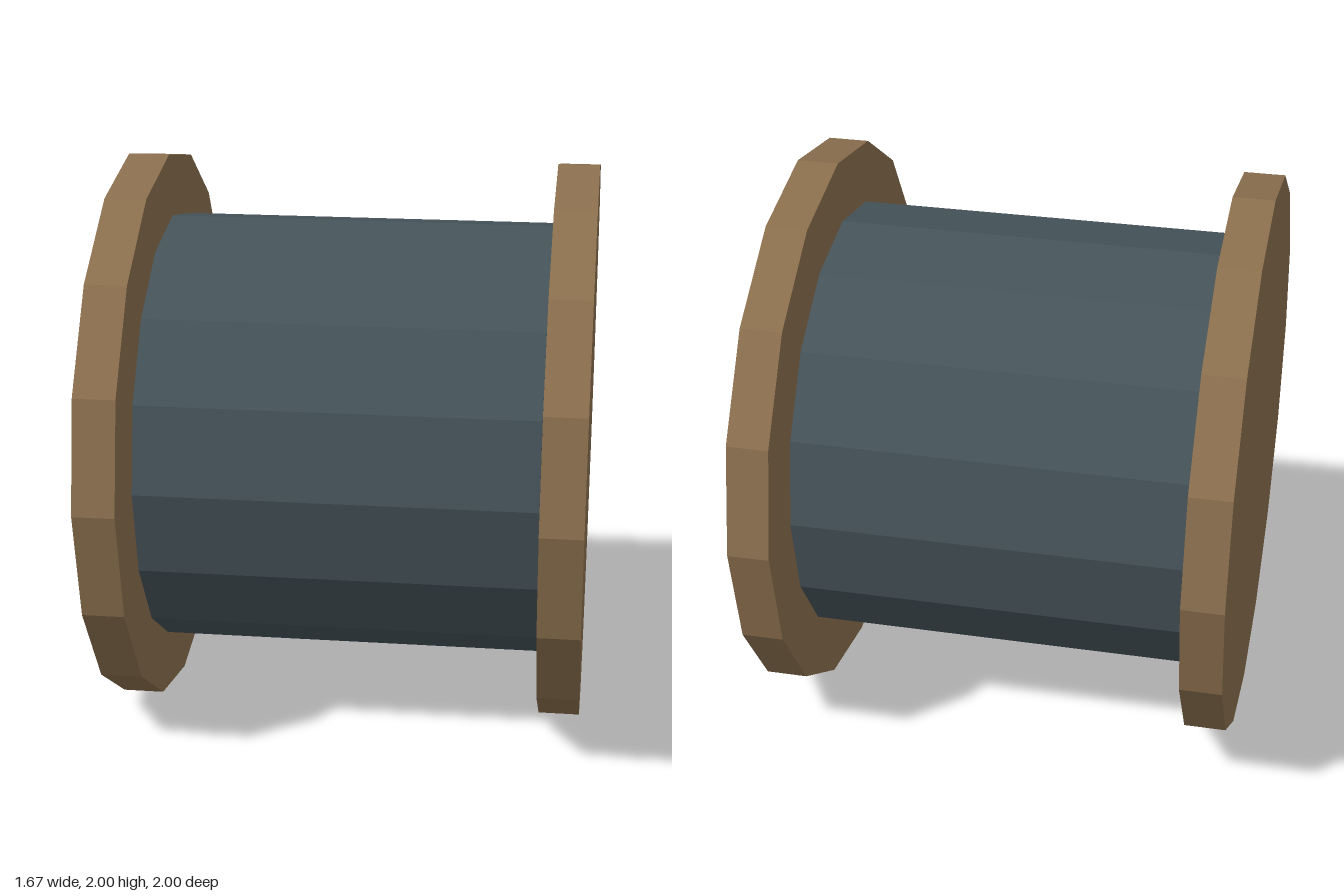
import * as THREE from 'three';

const SIDES = 16;

// Faceted disc or drum lying along the x axis, at axle height
function roll(name, radius, width, x, color) {
  const geometry = new THREE.CylinderGeometry(radius, radius, width, SIDES);
  geometry.rotateZ(Math.PI / 2);
  const material = new THREE.MeshStandardMaterial({ color, flatShading: true });
  const mesh = new THREE.Mesh(geometry, material);
  mesh.name = name;
  mesh.position.set(x, 1, 0);
  return mesh;
}

export function createModel() {
  const group = new THREE.Group();
  group.name = 'cableSpool';

  // Wound core, just short of the flanges
  group.add(roll('drum', 0.78, 1.366, 0, 0x455359));

  // Wooden end flanges
  for (const [name, side] of [['leftFlange', 1], ['rightFlange', -1]]) {
    group.add(roll(name, 1, 0.145, side * 0.762, 0x8b6f4e));
  }
  return group;
}
